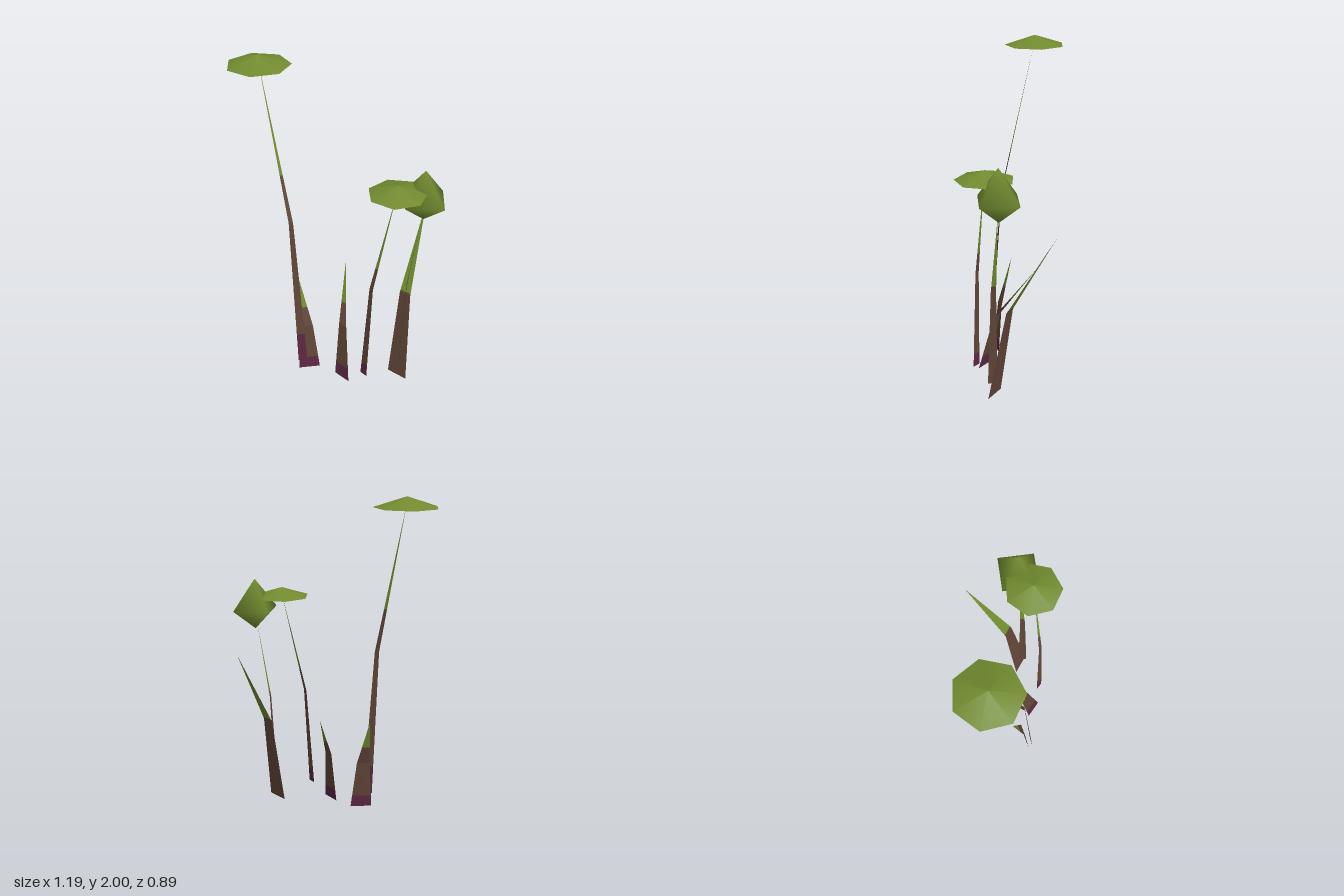
import * as THREE from 'three';
import { mergeVertices } from 'three/addons/utils/BufferGeometryUtils.js';

function makeMaterial(name, color) {
  const m = new THREE.MeshStandardMaterial({ color, side: THREE.DoubleSide });
  m.name = name;
  return m;
}

// Flat tapering blade: two edges run base -> bend -> tip, cut into colour bands by height
function makeBlade(name, base, bend, tip, bands) {
  const group = new THREE.Group();
  group.name = name;
  const edges = [0, 1].map((i) => [base[i], bend[i], tip].map((p) => new THREE.Vector3(...p)));
  const bendY = bend[0][1];
  const at = (edge, y) => {
    const [a, b] = y <= bendY ? [edge[0], edge[1]] : [edge[1], edge[2]];
    return a.clone().lerp(b, (y - a.y) / (b.y - a.y));
  };
  let from = base[0][1];
  for (const [part, to, material] of bands) {
    const rows = [from, to];
    if (from < bendY && bendY < to) rows.splice(1, 0, bendY);
    const points = [];
    for (let i = 0; i + 1 < rows.length; i++) {
      const [l0, r0] = edges.map((e) => at(e, rows[i]));
      const [l1, r1] = edges.map((e) => at(e, rows[i + 1]));
      points.push(l0, r0, r1);
      if (rows[i + 1] < tip[1]) points.push(l0, r1, l1);
    }
    const geometry = new THREE.BufferGeometry().setFromPoints(points);
    geometry.computeVertexNormals();
    const mesh = new THREE.Mesh(geometry, material);
    mesh.name = part;
    group.add(mesh);
    from = to;
  }
  return group;
}

// Shallow seven-sided cap with one corner toward +x
function makeCap(name, radius, height, x, y, z, material) {
  const geometry = new THREE.ConeGeometry(radius, height, 7);
  geometry.rotateY(Math.PI / 2);
  geometry.translate(0, height / 2, 0);
  const mesh = new THREE.Mesh(geometry, material);
  mesh.name = name;
  mesh.position.set(x, y, z);
  return mesh;
}

// Smooth-shaded four-sided bud, taller above its widest line than below
function makeBud(name, radius, up, down, material) {
  let geometry = new THREE.OctahedronGeometry(radius);
  geometry.deleteAttribute('normal');
  geometry.deleteAttribute('uv');
  const pos = geometry.attributes.position;
  for (let i = 0; i < pos.count; i++) {
    const y = pos.getY(i) / radius;
    pos.setY(i, y > 0 ? y * up : y * down);
  }
  geometry = mergeVertices(geometry);
  geometry.computeVertexNormals();
  const mesh = new THREE.Mesh(geometry, material);
  mesh.name = name;
  return mesh;
}

export function createModel() {
  const green = makeMaterial('leaf green', 0x728c30);
  const brown = makeMaterial('stem brown', 0x624638);
  const purple = makeMaterial('root purple', 0x5c2844);
  const model = new THREE.Group();
  model.name = 'plantCluster';

  const bands = (rootTop, stemTop, tipTop) => [
    ...(rootTop ? [['root', rootTop, purple]] : []),
    ['stem', stemTop, brown],
    ['tip', tipTop, green],
  ];

  // Stalks that carry a cap or bud
  model.add(
    makeBlade('tallStalk', [[-0.072, 0.08, 0.342], [-0.038, 0.08, 0.298]],
      [[-0.156, 1.05, 0.312], [-0.14, 1.05, 0.292]], [-0.426, 1.95, 0.267], bands(0.275, 1.33, 1.95)),
    makeBlade('shortStalk', [[0.272, 0.08, 0.127], [0.325, 0.08, 0.127]],
      [[0.302, 0.72, 0.09], [0.33, 0.72, 0.09]], [0.378, 1.345, -0.035], bands(0.165, 0.86, 1.345)),
    makeBlade('budStalk', [[0.372, 0.08, -0.11], [0.41, 0.08, -0.068]],
      [[0.394, 0.69, -0.127], [0.415, 0.69, -0.105]], [0.436, 1.17, -0.182], bands(0, 0.73, 1.17)),
  );

  // Loose leaves at the ground
  model.add(
    makeBlade('smallLeaf', [[-0.087, 0, 0.328], [-0.013, 0, 0.217]],
      [[-0.102, 0.31, 0.297], [-0.058, 0.31, 0.23]], [-0.172, 0.617, 0.24], bands(0.075, 0.43, 0.617)),
    makeBlade('middleLeaf', [[0.102, 0, 0.187], [0.22, 0, 0.181]],
      [[0.074, 0.35, 0.126], [0.136, 0.35, 0.123]], [-0.064, 0.658, -0.055], bands(0.08, 0.46, 0.658)),
    makeBlade('largeLeaf', [[0.31, 0, -0.08], [0.445, 0, -0.1]],
      [[0.3, 0.565, -0.172], [0.375, 0.565, -0.185]], [0.236, 1.06, -0.44], bands(0, 0.578, 1.06)),
  );

  // Caps and bud
  model.add(makeCap('tallCap', 0.186, 0.06, -0.431, 1.94, 0.265, green));
  model.add(makeCap('shortCap', 0.171, 0.055, 0.378, 1.34, -0.039, green));
  const bud = makeBud('bud', 0.154, 0.187, 0.125, green);
  bud.position.set(0.44, 1.268, -0.193);
  model.add(bud);
  return model;
}
